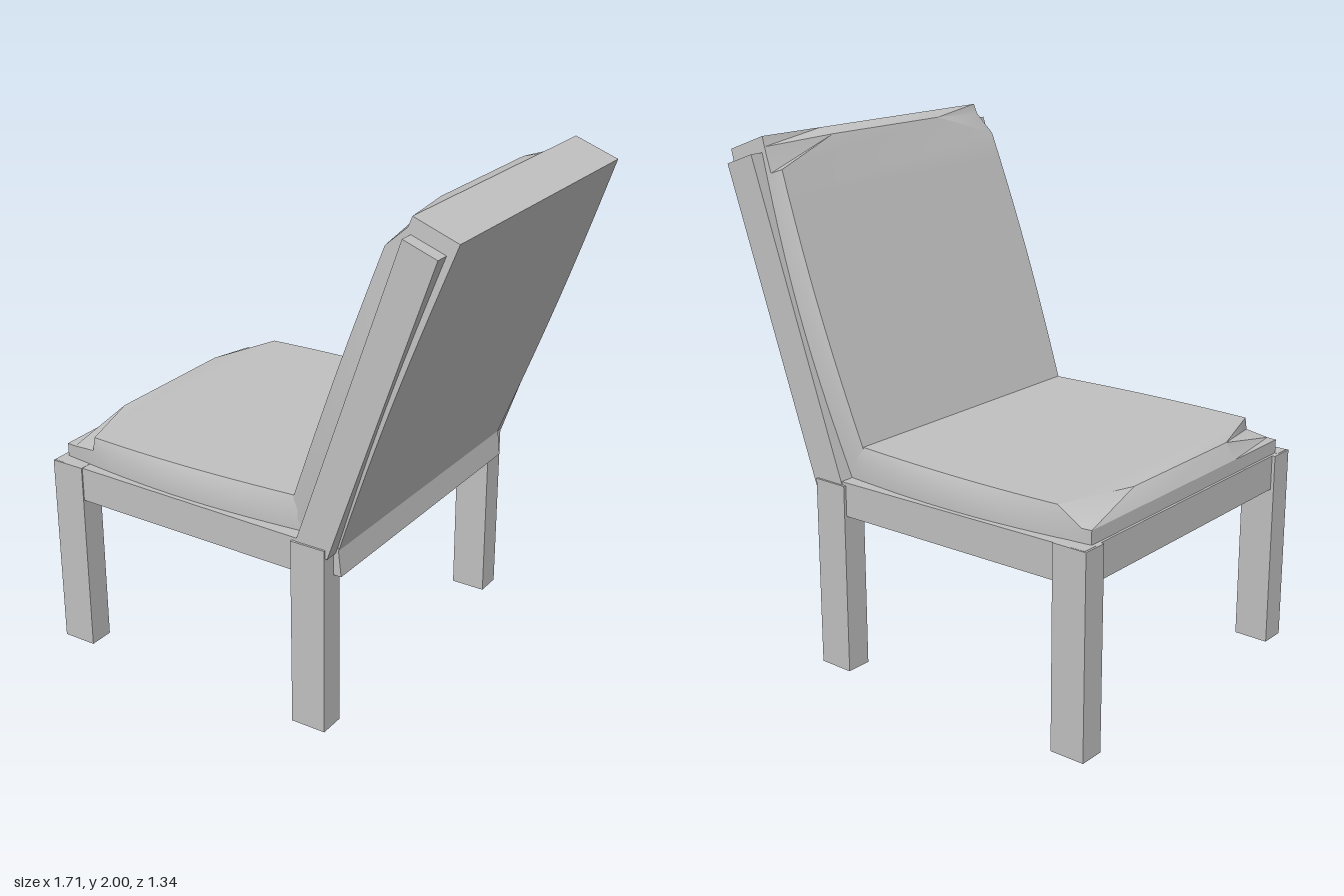
import * as THREE from 'three';
import { toCreasedNormals } from 'three/addons/utils/BufferGeometryUtils.js';

const grey = new THREE.MeshStandardMaterial({ color: 0xc0c0c0 });
grey.name = 'warm grey';

function add(parent, name, geometry) {
  const mesh = new THREE.Mesh(geometry, grey);
  mesh.name = name;
  parent.add(mesh);
  return mesh;
}

// Box given by its limits on each axis
function block(parent, name, [x0, x1], [y0, y1], [z0, z1]) {
  const geometry = new THREE.BoxGeometry(x1 - x0, y1 - y0, z1 - z0);
  geometry.translate((x0 + x1) / 2, (y0 + y1) / 2, (z0 + z1) / 2);
  return add(parent, name, geometry);
}

// Side outline in x and y, extruded from z0 to z1
function slab(parent, name, outline, z0, z1) {
  const shape = new THREE.Shape(outline.map(([x, y]) => new THREE.Vector2(x, y)));
  const geometry = new THREE.ExtrudeGeometry(shape, { depth: z1 - z0, bevelEnabled: false });
  geometry.translate(0, 0, z0);
  return add(parent, name, geometry);
}

// Cushion lofted along x, padded face up, with bulging sides and clipped end corners
function cushionGeometry(length, height, endHeight) {
  const section = (s, w, edge, top, a) =>
    [[0, -w], [edge, -w], [top, -a], [top, a], [edge, w], [0, w]]
      .map(([y, z]) => [s, y, z]);
  const rings = [];
  const steps = 12;
  const corner = length - 0.14;
  const halfWidth = (s) => 0.6 + 0.038 * Math.sin(Math.PI * s / length);
  for (let i = 0; i <= steps; i++) {
    const s = corner * i / steps;
    const w = halfWidth(s);
    const inset = 0.012 + 0.012 * Math.sin(Math.PI * i / steps);
    rings.push(section(s, w, height - 0.05, height, w - inset));
  }
  rings.push(section(length - 0.04, halfWidth(length - 0.04), endHeight, height, 0.3));
  rings.push(section(length, 0.6, endHeight, endHeight, 0.3));

  const positions = [];
  const triangle = (a, b, c) => positions.push(...a, ...b, ...c);
  for (let i = 0; i < rings.length - 1; i++) {
    for (let k = 0; k < 6; k++) {
      const n = (k + 1) % 6;
      triangle(rings[i][k], rings[i][n], rings[i + 1][n]);
      triangle(rings[i][k], rings[i + 1][n], rings[i + 1][k]);
    }
  }
  const first = rings[0];
  const last = rings[rings.length - 1];
  for (let k = 1; k < 5; k++) {
    triangle(first[0], first[k + 1], first[k]);
    triangle(last[0], last[k], last[k + 1]);
  }
  const geometry = new THREE.BufferGeometry();
  geometry.setAttribute('position', new THREE.Float32BufferAttribute(positions, 3));
  geometry.computeVertexNormals();
  return toCreasedNormals(geometry, 0.55);
}

export function createModel() {
  const chair = new THREE.Group();
  chair.name = 'chair';

  // Legs, side rails and back posts, mirrored in z
  for (const side of [-1, 1]) {
    const span = (inner, outer) => (side > 0 ? [inner, outer] : [-outer, -inner]);
    block(chair, 'frontLeg', [-0.858, -0.718], [0, 0.782], span(0.56, 0.662));
    block(chair, 'rearLeg', [0.25, 0.392], [0, 0.755], span(0.565, 0.668));
    slab(chair, 'sideRail',
      [[-0.85, 0.645], [0.39, 0.632], [0.39, 0.765], [-0.85, 0.783]],
      ...span(0.595, 0.657));
    slab(chair, 'backPost',
      [[0.265, 0.75], [0.4, 0.72], [0.81, 1.895], [0.68, 1.942]],
      ...span(0.575, 0.66));
  }

  // Cross rails and the panel under the seat
  block(chair, 'frontRail', [-0.845, -0.79], [0.645, 0.782], [-0.6, 0.6]);
  slab(chair, 'rearRail',
    [[0.35, 0.632], [0.424, 0.632], [0.41, 0.755], [0.35, 0.755]], -0.605, 0.605);
  block(chair, 'seatPanel', [-0.8, 0.37], [0.675, 0.775], [-0.6, 0.6]);

  // Seat cushion, running towards the front edge at -x
  const seat = add(chair, 'seatCushion', cushionGeometry(1.115, 0.13, 0.07));
  seat.position.set(0.28, 0.765, 0);
  seat.rotation.y = Math.PI;

  // Back cushion, leaning backwards
  const back = add(chair, 'backCushion', cushionGeometry(1.319, 0.238, 0.184));
  back.position.set(0.4, 0.7, 0);
  back.rotation.z = Math.atan2(1.24, 0.455);

  return chair;
}
